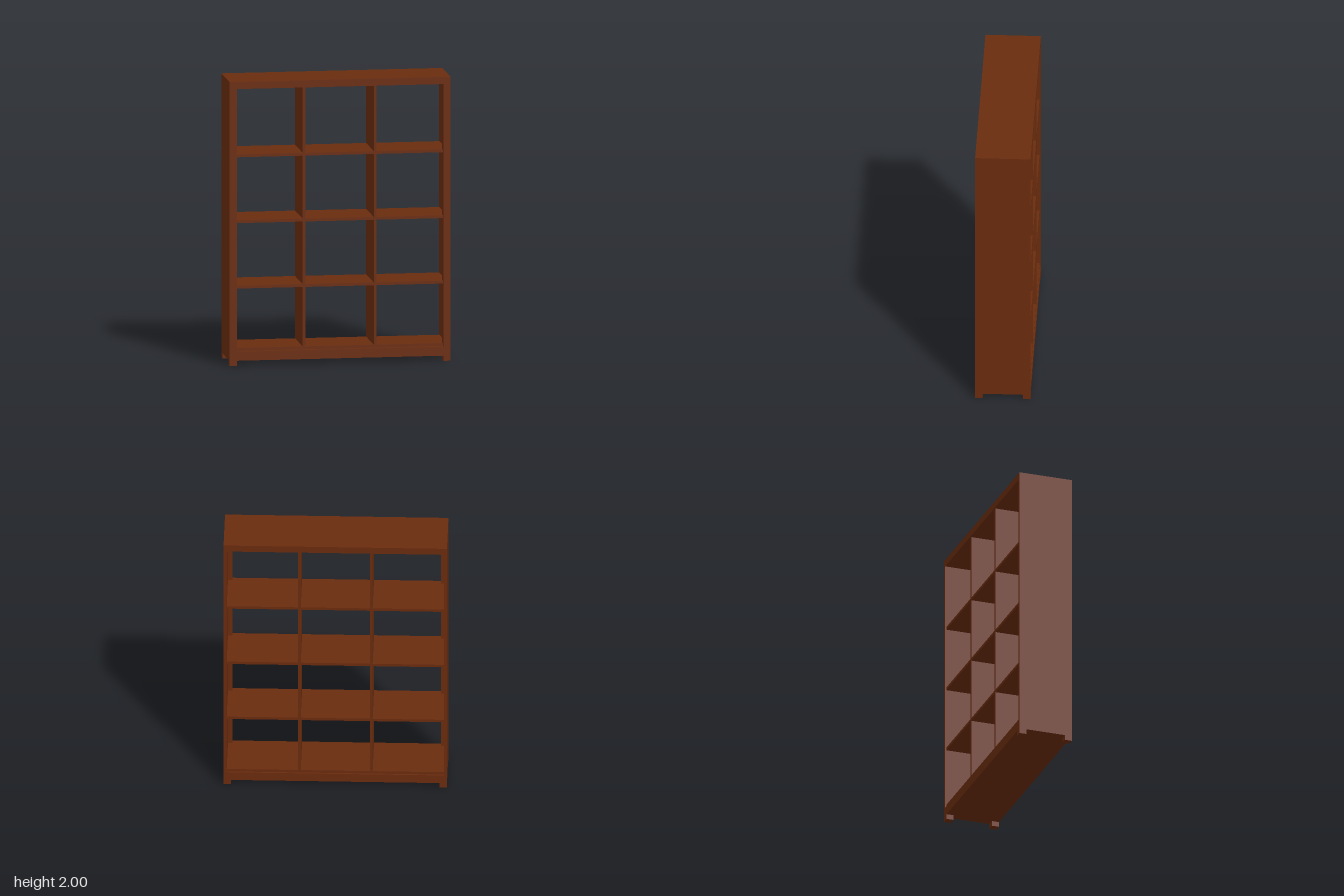
import * as THREE from 'three';

export function createModel() {
  const group = new THREE.Group();
  const wood = new THREE.MeshStandardMaterial({ color: 0x6a2c0e });
  wood.name = 'dark red wood';

  // Box given by its lower and upper bounds on each axis
  function board(name, [x0, x1], [y0, y1], [z0, z1]) {
    const mesh = new THREE.Mesh(new THREE.BoxGeometry(x1 - x0, y1 - y0, z1 - z0), wood);
    mesh.position.set((x0 + x1) / 2, (y0 + y1) / 2, (z0 + z1) / 2);
    mesh.name = name;
    group.add(mesh);
  }

  const W = 0.777, D = 0.193;        // half width, half depth
  const post = 0.052, panel = 0.022; // front post and side panel thickness
  const footTop = 0.036, topUnder = 1.95;
  const inner = W - panel;
  const inset = [-D + 0.008, D - 0.022]; // shelves sit behind the frame

  // Top and base
  board('top', [-W, W], [topUnder, 2], [-D, D]);
  board('base', [-inner, inner], [footTop, 0.1], [-D, D]);

  // Side panels, front posts and feet
  for (const s of [-1, 1]) {
    const span = (a, b) => (s > 0 ? [a, b] : [-b, -a]);
    board('sidePanel', span(inner, W), [footTop, topUnder], [-D, D]);
    board('frontPost', span(W - post, inner), [footTop, topUnder], [D - post, D]);
    board('frontFoot', span(W - post, W), [0, footTop], [D - post, D]);
    board('backFoot', span(W - post, W), [0, footTop], [-D, -D + post]);
  }

  // Shelves, the lowest resting on the base
  for (const top of [0.122, 0.561, 1.022, 1.486]) {
    board('shelf', [-inner, inner], [top - 0.02, top], inset);
  }

  // Upright dividers
  for (const x of [-0.25, 0.25]) {
    board('divider', [x - 0.01, x + 0.01], [0.122, topUnder], inset);
  }

  return group;
}
